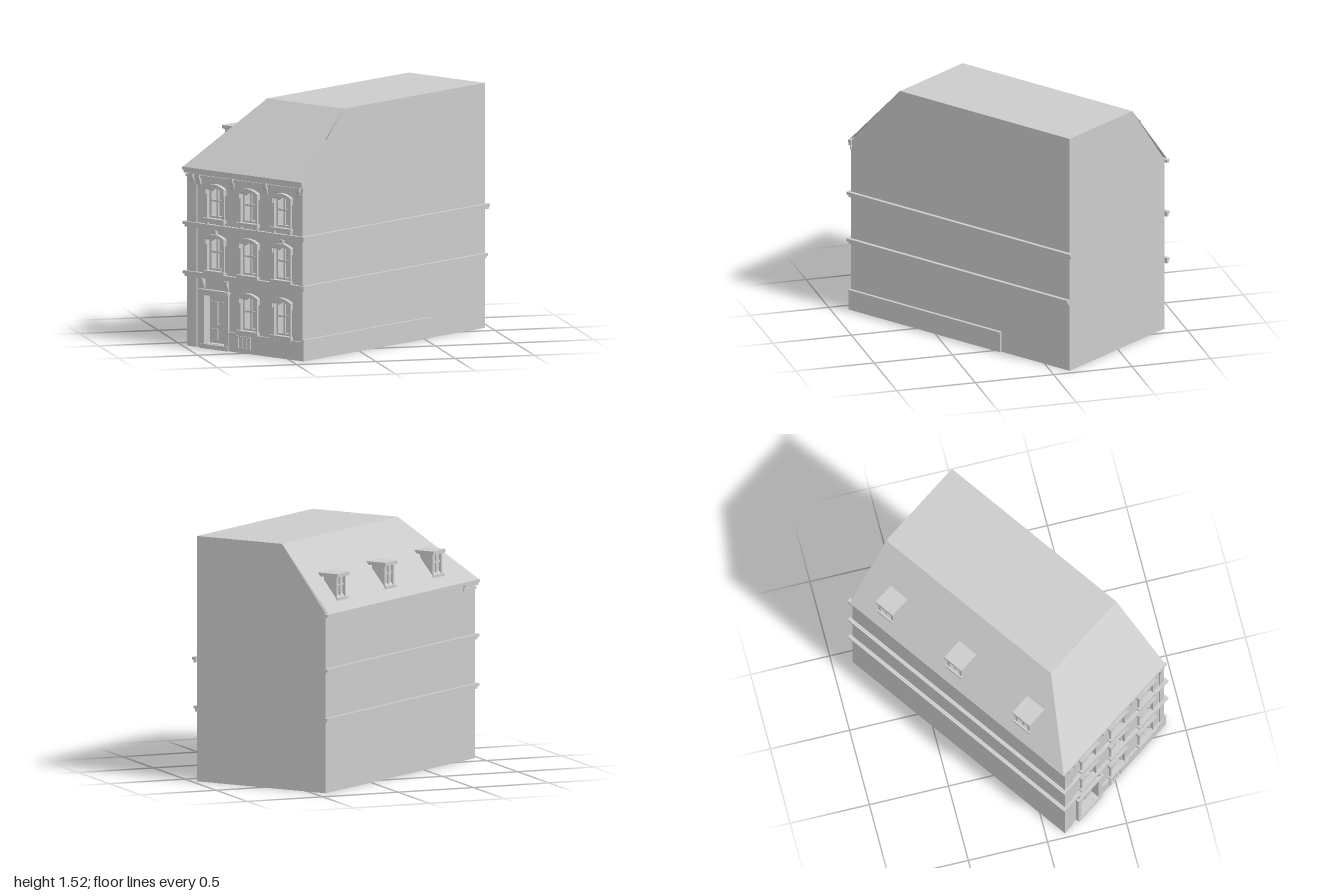
import * as THREE from 'three';

const MAT = new THREE.MeshStandardMaterial({ color: 0xcccccc, side: THREE.DoubleSide, flatShading: true });
const HW = 0.466, HD = 0.853, EAVE = 1.11, TOP = 1.52; // half width, half depth, heights
const COLS = [-0.24, 0.03, 0.30];                      // facade window axes

function add(parent, name, geo, x = 0, y = 0, z = 0) {
  const m = new THREE.Mesh(geo, MAT);
  m.name = name;
  m.position.set(x, y, z);
  parent.add(m);
  return m;
}

// box given by its min/max extents
function block(parent, name, x0, x1, y0, y1, z0, z1) {
  return add(parent, name, new THREE.BoxGeometry(x1 - x0, y1 - y0, z1 - z0),
    (x0 + x1) / 2, (y0 + y1) / 2, (z0 + z1) / 2);
}

// flat convex polygon, corners counter-clockwise from outside
function poly(parent, name, pts) {
  const pos = [];
  for (let i = 1; i < pts.length - 1; i++) pos.push(...pts[0], ...pts[i], ...pts[i + 1]);
  const g = new THREE.BufferGeometry();
  g.setAttribute('position', new THREE.Float32BufferAttribute(pos, 3));
  g.computeVertexNormals();
  return add(parent, name, g);
}

// opening outline with a segmental arch of rise r
function arch(P, cx, w, y0, y1, r) {
  const p = new P();
  p.moveTo(cx - w, y0);
  p.lineTo(cx + w, y0);
  p.lineTo(cx + w, y1);
  p.quadraticCurveTo(cx, y1 + 2 * r, cx - w, y1);
  p.lineTo(cx - w, y0);
  return p;
}

function extrude(shape, depth) {
  return new THREE.ExtrudeGeometry(shape, { depth, bevelEnabled: false, curveSegments: 8 });
}

// ring between two arched outlines
function ring(parent, name, outer, inner, depth, z) {
  const s = arch(THREE.Shape, ...outer);
  s.holes.push(arch(THREE.Path, ...inner));
  return add(parent, name, extrude(s, depth), 0, 0, z);
}

function facadeWindow(parent, cx, y0, y1) {
  const g = new THREE.Group(), w = 0.06, r = 0.018;
  g.name = 'window';
  parent.add(g);
  // niche behind the opening
  ring(g, 'reveal', [cx, w + 0.006, y0 - 0.006, y1 + 0.006, r], [cx, w, y0, y1, r], 0.1, HD - 0.1);
  block(g, 'nicheBack', cx - w, cx + w, y0, y1 + r, HD - 0.1, HD - 0.095);
  // sash
  ring(g, 'sashFrame', [cx, w, y0, y1, r], [cx, w - 0.014, y0 + 0.012, y1 - 0.01, r], 0.015, HD - 0.025);
  const mid = (y0 + y1) / 2 + 0.02;
  block(g, 'transom', cx - w, cx + w, mid - 0.006, mid + 0.006, HD - 0.025, HD - 0.012);
  block(g, 'mullion', cx - 0.006, cx + 0.006, y0, y1 + r, HD - 0.025, HD - 0.014);
  // outer trim
  ring(g, 'casing', [cx, w + 0.014, y0 - 0.004, y1 + 0.012, r], [cx, w, y0, y1, r], 0.012, HD);
  block(g, 'sill', cx - 0.085, cx + 0.085, y0 - 0.022, y0, HD, HD + 0.026);
  const hood = new THREE.Shape();
  hood.moveTo(cx - 0.085, y1 - 0.025);
  hood.lineTo(cx - 0.062, y1 - 0.025);
  hood.lineTo(cx - 0.062, y1 + 0.004);
  hood.quadraticCurveTo(cx, y1 + 0.038, cx + 0.062, y1 + 0.004);
  hood.lineTo(cx + 0.062, y1 - 0.025);
  hood.lineTo(cx + 0.085, y1 - 0.025);
  hood.lineTo(cx + 0.085, y1 + 0.015);
  hood.quadraticCurveTo(cx, y1 + 0.066, cx - 0.085, y1 + 0.015);
  add(g, 'hood', extrude(hood, 0.026), 0, 0, HD);
  for (const s of [-1, 1])
    block(g, 'sillBracket', cx + s * 0.065 - 0.01, cx + s * 0.065 + 0.01, y0 - 0.038, y0 - 0.022, HD, HD + 0.016);
}

// scroll-like bracket, profile in z/y, extruded across x
function bracket(parent, x, yTop, h, d, w) {
  const s = new THREE.Shape();
  s.moveTo(0, 0);
  s.lineTo(0, -h);
  s.quadraticCurveTo(d * 0.5, -h, d * 0.5, -h * 0.6);
  s.quadraticCurveTo(d, -h * 0.5, d, 0);
  const m = add(parent, 'bracket', extrude(s, w), x + w / 2, yTop, HD);
  m.rotation.y = -Math.PI / 2;
  m.scale.z = 1;
  return m;
}

function door(parent, cx) {
  const g = new THREE.Group(), w = 0.08;
  g.name = 'door';
  parent.add(g);
  ring(g, 'doorReveal', [cx, w + 0.008, 0.022, 0.338, 0], [cx, w, 0.03, 0.33, 0], 0.05, HD - 0.05);
  block(g, 'doorLeaf', cx - w, cx + w, 0.03, 0.33, HD - 0.05, HD - 0.038);
  for (const s of [-1, 1]) {
    for (const [a, b] of [[0.05, 0.12], [0.14, 0.29]])
      block(g, 'doorPanel', cx + s * 0.038 - 0.026, cx + s * 0.038 + 0.026, a, b, HD - 0.038, HD - 0.03);
    add(g, 'doorKnob', new THREE.SphereGeometry(0.006, 8, 6), cx + s * 0.008, 0.15, HD - 0.03);
    block(g, 'doorJamb', cx + s * 0.096 - 0.016, cx + s * 0.096 + 0.016, 0, 0.345, HD, HD + 0.018);
    bracket(g, cx + s * 0.096, 0.43, 0.065, 0.026, 0.022);
  }
  block(g, 'doorLintel', cx - w - 0.03, cx + w + 0.03, 0.33, 0.348, HD, HD + 0.02);
  block(g, 'doorCornice', cx - w - 0.038, cx + w + 0.038, 0.348, 0.366, HD, HD + 0.028);
  block(g, 'doorStep', cx - w - 0.03, cx + w + 0.03, 0, 0.028, HD - 0.05, HD + 0.025);
}

// string course on the front and both long sides
function stringCourse(parent, y, rightBack) {
  for (const [y0, y1, o] of [[y, y + 0.016, 0.014], [y + 0.016, y + 0.034, 0.024]]) {
    block(parent, 'stringCourseFront', -HW - o, HW + o, y0, y1, HD, HD + o);
    block(parent, 'stringCourseLeft', -HW - o, -HW, y0, y1, -HD - 0.02, HD);
    block(parent, 'stringCourseRight', HW, HW + o, y0, y1, rightBack, HD);
  }
}

function dormer(parent, z) {
  const g = new THREE.Group();
  g.name = 'dormer';
  parent.add(g);
  block(g, 'dormerRoof', -0.446, -0.3, 1.312, 1.334, z - 0.069, z + 0.069);
  for (const s of [-1, 1]) {
    block(g, 'dormerCheek', -0.43, -0.34, 1.17, 1.312, z + s * 0.049 - 0.008, z + s * 0.049 + 0.008);
  }
  block(g, 'dormerSill', -0.442, -0.41, 1.165, 1.185, z - 0.062, z + 0.062);
  block(g, 'dormerGlass', -0.415, -0.405, 1.17, 1.312, z - 0.05, z + 0.05);
  block(g, 'dormerMullion', -0.424, -0.41, 1.18, 1.312, z - 0.005, z + 0.005);
  block(g, 'dormerTransom', -0.424, -0.41, 1.255, 1.265, z - 0.045, z + 0.045);
}

export function createModel() {
  const house = new THREE.Group();
  house.name = 'townHouse';
  house.rotation.y = -0.955;

  // front wall with its openings
  const wall = new THREE.Shape([[-HW, 0], [HW, 0], [HW, EAVE], [-HW, EAVE]].map(p => new THREE.Vector2(...p)));
  const floors = [[0.14, 0.335], [0.485, 0.675], [0.81, 0.985]];
  floors.forEach(([y0, y1], f) => COLS.forEach((cx, c) => {
    if (f === 0 && c === 0) return;
    wall.holes.push(arch(THREE.Path, cx, 0.06, y0, y1, 0.018));
    facadeWindow(house, cx, y0, y1);
  }));
  wall.holes.push(arch(THREE.Path, COLS[0], 0.08, 0.03, 0.33, 0));
  add(house, 'frontWall', new THREE.ShapeGeometry(wall, 8), 0, 0, HD);
  door(house, COLS[0]);

  // remaining walls, open underneath
  const RX = -0.15, RZ = 0.476, EX = -0.49, EZ = 0.872;
  poly(house, 'rightWall', [[HW, 0, HD], [HW, 0, -HD], [HW, TOP, -HD], [HW, TOP, RZ], [HW, EAVE, HD]]);
  poly(house, 'leftWall', [[-HW, 0, -HD], [-HW, 0, HD], [-HW, EAVE, HD], [-HW, EAVE, -HD]]);
  poly(house, 'backWall', [[HW, 0, -HD], [-HW, 0, -HD], [-HW, EAVE, -HD], [RX, TOP, -HD], [HW, TOP, -HD]]);

  // roof: flat top with front and left slopes
  poly(house, 'flatRoof', [[RX, TOP, RZ], [HW, TOP, RZ], [HW, TOP, -HD], [RX, TOP, -HD]]);
  poly(house, 'frontSlope', [[EX, EAVE, EZ], [HW, EAVE, EZ], [HW, TOP, RZ], [RX, TOP, RZ]]);
  poly(house, 'leftSlope', [[EX, EAVE, -HD], [EX, EAVE, EZ], [RX, TOP, RZ], [RX, TOP, -HD]]);
  for (const z of [0.488, -0.062, -0.617]) dormer(house, z);

  // cornice, short return and side gutter
  for (const [y0, y1, o] of [[1.05, 1.068, 0.01], [1.075, 1.092, 0.02], [1.092, EAVE, 0.028]]) {
    block(house, 'cornice', -HW - o, HW + 0.008, y0, y1, HD, HD + Math.min(o, 0.024));
    block(house, 'corniceReturn', -HW - o, -HW, y0, y1, HD - 0.13, HD);
  }
  block(house, 'gutter', -HW - 0.026, -HW, 1.09, EAVE, -HD - 0.02, HD);
  for (const x of [-0.425, -0.375, -0.105, 0.165, 0.435]) bracket(house, x, 1.077, 0.07, 0.024, 0.034);

  // string courses with small brackets beneath the upper one
  stringCourse(house, 0.432, -HD);
  stringCourse(house, 0.738, -HD - 0.02);
  for (const c of [0, 2]) bracket(house, COLS[c], 0.738, 0.035, 0.022, 0.03);

  // corner pilasters
  block(house, 'leftPilaster', -HW, -0.39, 0, 1.06, HD, HD + 0.008);
  block(house, 'rightPilaster', 0.43, HW, 0.12, 1.06, HD, HD + 0.008);

  // plinth along the front and part of the right side
  block(house, 'frontPlinth', -0.125, HW + 0.012, 0, 0.118, HD, HD + 0.014);
  block(house, 'rightPlinth', HW, HW + 0.014, 0, 0.122, -0.32, HD + 0.014);
  block(house, 'rightPlinthCap', HW, HW + 0.02, 0.122, 0.132, -0.32, HD + 0.016);

  // basement window
  const bz = HD + 0.014;
  ring(house, 'basementFrame', [0, 0.055, 0.025, 0.105, 0], [0, 0.042, 0.035, 0.095, 0], 0.008, bz);
  for (const x of [-0.014, 0.014]) block(house, 'basementBar', x - 0.004, x + 0.004, 0.035, 0.095, bz, bz + 0.005);

  const model = new THREE.Group();
  model.name = 'building';
  model.add(house);
  return model;
}
